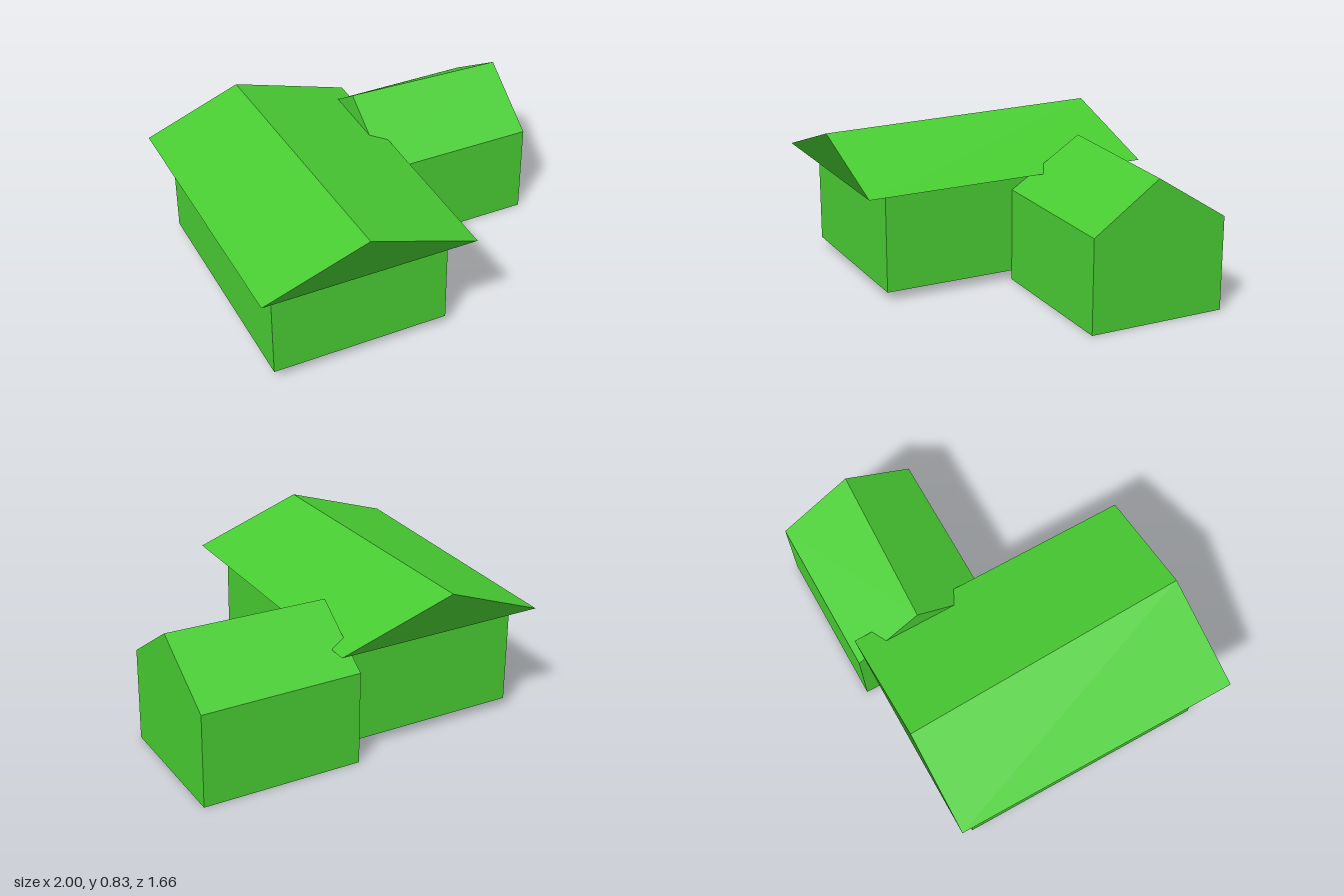
import * as THREE from 'three';

const green = new THREE.MeshStandardMaterial({ color: 0x48cc32 });
green.name = 'leafGreen';

// Solid from flat-shaded polygons; each polygon has one averaged normal
function polygonMesh(name, points, faces) {
  const positions = [], normals = [];
  const v = key => new THREE.Vector3(...points[key]);
  for (const face of faces) {
    const p = face.map(v), normal = new THREE.Vector3();
    for (let i = 1; i < p.length - 1; i++) {
      const a = p[i].clone().sub(p[0]), b = p[i + 1].clone().sub(p[0]);
      normal.add(a.cross(b));
    }
    normal.normalize();
    for (let i = 1; i < p.length - 1; i++) {
      for (const q of [p[0], p[i], p[i + 1]]) {
        positions.push(q.x, q.y, q.z);
        normals.push(normal.x, normal.y, normal.z);
      }
    }
  }
  const geometry = new THREE.BufferGeometry();
  geometry.setAttribute('position', new THREE.Float32BufferAttribute(positions, 3));
  geometry.setAttribute('normal', new THREE.Float32BufferAttribute(normals, 3));
  const mesh = new THREE.Mesh(geometry, green);
  mesh.name = name;
  return mesh;
}

// Four corners of a level rectangle, named by prefix + front/back + left/right of the sheet
function corners(prefix, x0, x1, y, z0, z1) {
  return {
    [prefix + 'FL']: [x0, y, z1], [prefix + 'FR']: [x1, y, z1],
    [prefix + 'BR']: [x1, y, z0], [prefix + 'BL']: [x0, y, z0],
  };
}

export function createModel() {
  const group = new THREE.Group();
  group.name = 'house';

  // Main hall walls
  const walls = new THREE.Mesh(new THREE.BoxGeometry(1, 0.55, 1.4), green);
  walls.name = 'mainWalls';
  walls.position.set(-0.4, 0.325, 0);
  group.add(walls);

  // Overhanging roof with a slightly skewed ridge; gables fold under to the walls
  group.add(polygonMesh('mainRoof', {
    ...corners('w', -0.9, 0.1, 0.6, -0.7, 0.7),
    ...corners('e', -1, 0.2, 0.62, -0.8, 0.83),
    rF: [-0.41, 0.826, 0.83], rB: [-0.46, 0.826, -0.8],
  }, [
    ['eFL', 'wFL', 'wFR', 'eFR', 'rF'],
    ['eBR', 'wBR', 'wBL', 'eBL', 'rB'],
    ['eFR', 'eBR', 'rB', 'rF'],
    ['eBL', 'eFL', 'rF', 'rB'],
    ['wFR', 'wBR', 'eBR', 'eFR'],
    ['wBL', 'wFL', 'eFL', 'eBL'],
  ]));

  // Side wing: gabled block with its ridge running along x
  group.add(polygonMesh('sideWing', {
    ...corners('b', 0.107, 1, 0, -0.83, -0.047),
    ...corners('t', 0.107, 1, 0.525, -0.83, -0.047),
    rL: [0.107, 0.787, -0.457], rR: [1, 0.787, -0.423],
  }, [
    ['bFL', 'bFR', 'tFR', 'tFL'],
    ['bBR', 'bBL', 'tBL', 'tBR'],
    ['bFR', 'bBR', 'tBR', 'rR', 'tFR'],
    ['bBL', 'bFL', 'tFL', 'rL', 'tBL'],
    ['tFL', 'tFR', 'rR', 'rL'],
    ['tBR', 'tBL', 'rL', 'rR'],
    ['bBL', 'bBR', 'bFR', 'bFL'],
  ]));

  return group;
}
